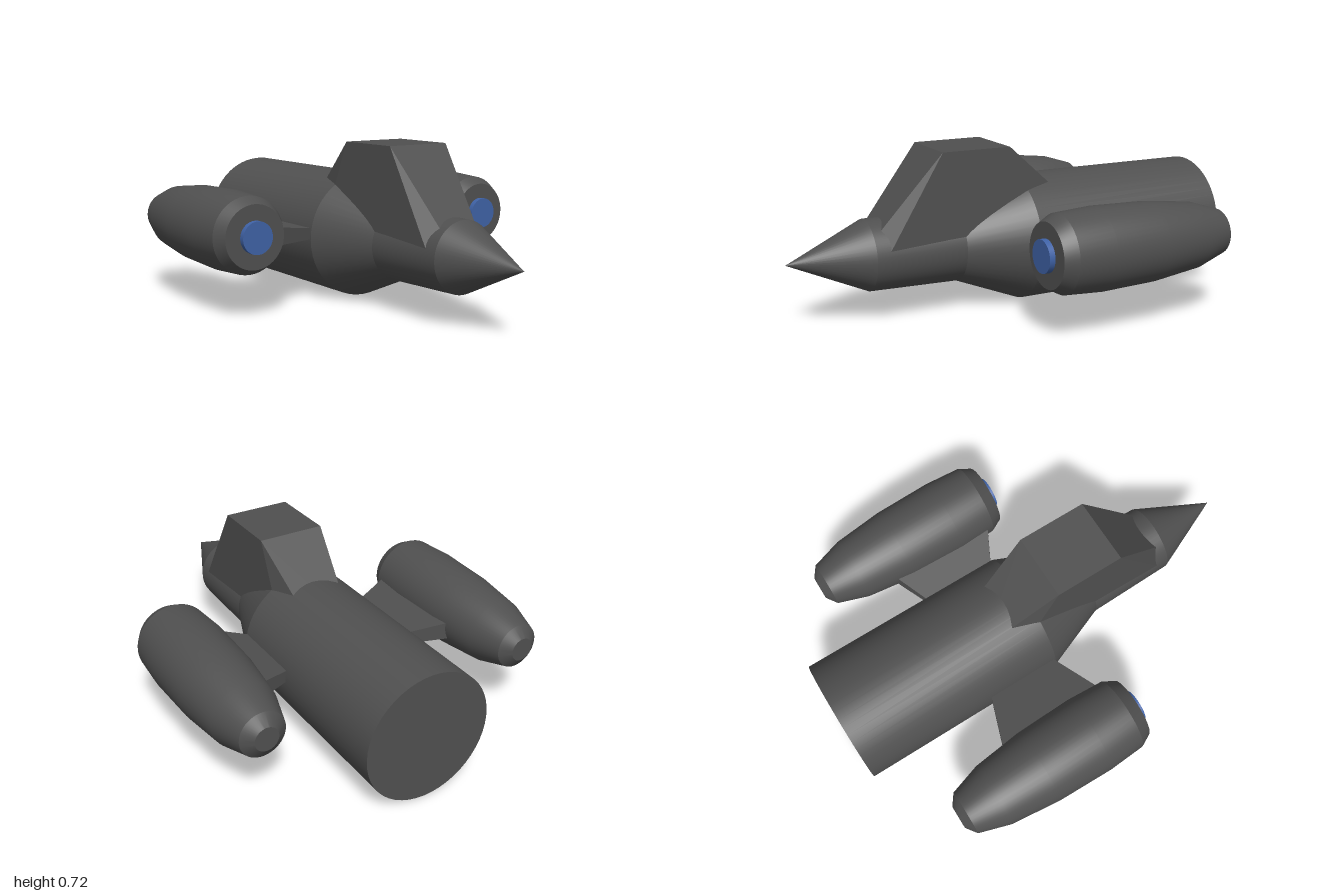
import * as THREE from 'three';
import { toCreasedNormals } from 'three/addons/utils/BufferGeometryUtils.js';
import { ConvexGeometry } from 'three/addons/geometries/ConvexGeometry.js';

const hullGrey = new THREE.MeshStandardMaterial({ color: 0x505050 });
hullGrey.name = 'hull grey';
const intakeBlue = new THREE.MeshStandardMaterial({ color: 0x3f62a6 });
intakeBlue.name = 'intake blue';

const AXIS_Z = -0.036;

// Body turned around the x axis from [x, radius] pairs
function turned(profile) {
  const points = profile.map(([x, r]) => new THREE.Vector2(r, x));
  const geometry = new THREE.LatheGeometry(points, 48).rotateZ(-Math.PI / 2);
  return toCreasedNormals(geometry, 0.3);
}

function addPart(parent, name, geometry, material, x = 0, y = 0, z = 0) {
  const mesh = new THREE.Mesh(geometry, material);
  mesh.name = name;
  mesh.position.set(x, y, z);
  parent.add(mesh);
  return mesh;
}

// Strut that grows wider and thicker from the fuselage out to the pod
function strutGeometry(side) {
  const root = { z: AXIS_Z + side * 0.2, x: [-0.36, -0.09], y: [0.287, 0.326] };
  const tip = { z: side * 0.51, x: [-0.48, 0.05], y: [0.296, 0.382] };
  const geometry = new THREE.BoxGeometry(1, 1, 1).toNonIndexed();
  const p = geometry.attributes.position;
  for (let i = 0; i < p.count; i++) {
    const end = p.getZ(i) * side > 0 ? tip : root;
    p.setXYZ(i, end.x[p.getX(i) > 0 ? 1 : 0], end.y[p.getY(i) > 0 ? 1 : 0], end.z);
  }
  geometry.computeVertexNormals();
  return geometry;
}

export function createModel() {
  const model = new THREE.Group();
  model.name = 'spacecraft';

  // Fuselage with stepped neck and pointed nose
  addPart(model, 'fuselage', turned([
    [-1, 0], [-1, 0.283], [-0.05, 0.283], [0.25, 0.164], [0.655, 0.155], [1, 0],
  ]), hullGrey, 0, 0.286, AXIS_Z);

  // Faceted cockpit: [x, y, half width], the lower corners sunk in the fuselage
  const corners = [
    [0.04, 0.725, 0.15], [0.355, 0.725, 0.15],
    [-0.14, 0.33, 0.15], [0.6, 0.32, 0.15],
    [-0.31, 0.428, 0.09], [0.69, 0.32, 0.08],
  ];
  const cage = corners.flatMap(([x, y, w]) => [
    new THREE.Vector3(x, y, w), new THREE.Vector3(x, y, -w),
  ]);
  addPart(model, 'cockpit', new ConvexGeometry(cage), hullGrey, 0, 0, AXIS_Z);

  // Engine pods on struts
  const podGeometry = turned([
    [-0.78, 0], [-0.78, 0.052], [-0.745, 0.1], [-0.605, 0.144], [-0.38, 0.17],
    [-0.12, 0.177], [0.05, 0.167], [0.105, 0.138], [0.105, 0],
  ]);
  const intakeGeometry = new THREE.CylinderGeometry(0.07, 0.07, 0.05, 32).rotateZ(-Math.PI / 2);
  for (const side of [1, -1]) {
    const engine = new THREE.Group();
    engine.name = side > 0 ? 'leftEngine' : 'rightEngine';
    addPart(engine, 'pod', podGeometry, hullGrey, 0, 0.357, side * 0.616);
    addPart(engine, 'intake', intakeGeometry, intakeBlue, 0.105, 0.357, side * 0.616);
    addPart(engine, 'strut', strutGeometry(side), hullGrey);
    model.add(engine);
  }
  return model;
}
